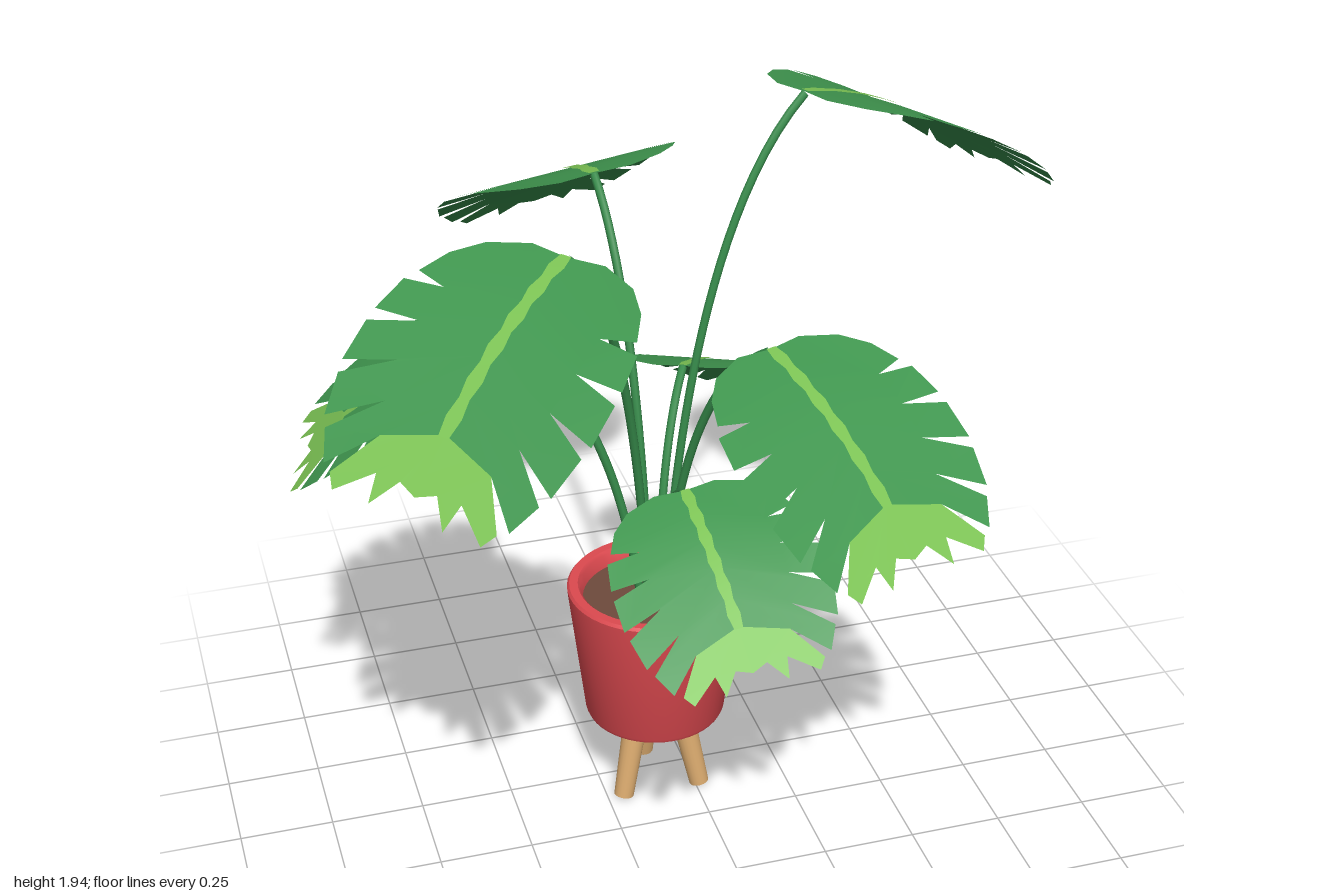
import * as THREE from 'three';
import { mergeVertices, mergeGeometries, toCreasedNormals } from 'three/addons/utils/BufferGeometryUtils.js';

const mat = (name, color) => Object.assign(new THREE.MeshStandardMaterial({ color }), { name });
const POT = new THREE.Vector3(-0.097, 0, 0.05);

// Half leaf split into lobes, points as [sideways, along]; the last lobe is the pale tip
const LOBES = [
  [[0, 0.1], [0, 0], [0.1, -0.01], [0.2, 0.03], [0.26, 0.09], [0.295, 0.16], [0.21, 0.18]],
  [[0, 0.2], [0, 0.1], [0.21, 0.18], [0.315, 0.19], [0.333, 0.275], [0.21, 0.27]],
  [[0, 0.29], [0, 0.2], [0.21, 0.27], [0.335, 0.305], [0.335, 0.395], [0.205, 0.36]],
  [[0, 0.38], [0, 0.29], [0.205, 0.36], [0.327, 0.42], [0.305, 0.5], [0.18, 0.44]],
  [[0, 0.46], [0, 0.38], [0.18, 0.44], [0.288, 0.52], [0.25, 0.575], [0.15, 0.5]],
  [[0, 0.46], [0.15, 0.5], [0.225, 0.585], [0.2, 0.61], [0.115, 0.56], [0.1, 0.61], [0.05, 0.56], [0, 0.575]],
];

// Wavy strip along the middle of the leaf
const RIB = [];
for (let i = 0; i <= 12; i++) RIB.push([i % 2 ? 0.021 : 0.014, i * 0.039]);

// Flat polygons laid out along +z and bent downward along their length
function bentSheet(polygons, slope, lift = 0) {
  const shapes = polygons.map(p => new THREE.Shape(p.map(([x, y]) => new THREE.Vector2(x, y))));
  let geo = new THREE.ShapeGeometry(shapes);
  geo.deleteAttribute('normal');
  geo.deleteAttribute('uv');
  geo.clearGroups();
  const pos = geo.attributes.position;
  for (let i = 0; i < pos.count; i++) {
    const w = pos.getX(i), s = pos.getY(i);
    pos.setXYZ(i, -w, lift - slope * s - 0.62 * s * s, s);
  }
  geo = mergeVertices(geo, 1e-4);
  geo.computeVertexNormals();
  return geo;
}

const bothSides = lobes => lobes.flatMap(l => [l, l.map(([x, y]) => [-x, y])]);

function flipped(geo) {
  const g = geo.clone(), idx = g.index;
  for (let i = 0; i < idx.count; i += 3) {
    const a = idx.getX(i);
    idx.setX(i, idx.getX(i + 1));
    idx.setX(i + 1, a);
  }
  g.computeVertexNormals();
  return g;
}

export function createModel() {
  const model = new THREE.Group();
  model.name = 'pottedPlant';
  const red = mat('potRed', 0xdc494f);
  const wood = mat('legWood', 0xdbab6f);
  const earth = mat('soilBrown', 0x6e4a3c);
  const green = mat('leafGreen', 0x40964f);
  const under = mat('stemGreen', 0x368a4a);
  const lime = mat('paleGreen', 0x7cc354);

  const add = (parent, name, geo, material) => {
    const mesh = new THREE.Mesh(geo, material);
    mesh.name = name;
    parent.add(mesh);
    return mesh;
  };

  // Pot with a soft rim, and the soil inside
  const profile = [[0, 0.248], [0.175, 0.248], [0.185, 0.252], [0.19, 0.263], [0.232, 0.63], [0.233, 0.642],
    [0.227, 0.65], [0.204, 0.65], [0.197, 0.642], [0.189, 0.59]].map(([x, y]) => new THREE.Vector2(x, y));
  add(model, 'pot', toCreasedNormals(new THREE.LatheGeometry(profile, 48), 0.7), red).position.copy(POT);
  const soil = add(model, 'soil', new THREE.CircleGeometry(0.193, 48).rotateX(-Math.PI / 2), earth);
  soil.position.set(POT.x, 0.605, POT.z);

  // Three splayed legs, one at the back
  for (let i = 0; i < 3; i++) {
    const a = Math.PI + i * Math.PI * 2 / 3;
    const out = new THREE.Vector3(Math.sin(a), 0, Math.cos(a));
    const top = POT.clone().addScaledVector(out, 0.07).setY(0.258);
    const foot = POT.clone().addScaledVector(out, 0.125).setY(0.006);
    const leg = add(model, 'leg', new THREE.CylinderGeometry(0.034, 0.027, top.distanceTo(foot), 20), wood);
    leg.position.copy(top).add(foot).multiplyScalar(0.5);
    leg.quaternion.setFromUnitVectors(new THREE.Vector3(0, 1, 0), top.clone().sub(foot).normalize());
  }

  // Leaves: base point, heading in x and z, size, slope at the base, sideways roll
  const leaves = [
    [[-0.13, 1.65, -0.38], [-0.05, -0.44], 0.99, 0.2, -0.09],
    [[0.35, 1.925, -0.11], [0.48, -0.15], 1.04, 0.16, -0.1],
    [[0.06, 1.14, -0.21], [0.23, -0.29], 0.8, 0.22, -0.13],
    [[-0.46, 1.38, -0.05], [-0.41, -0.1], 0.89, 0.23, 0],
    [[-0.4, 1.805, 0.41], [-0.36, 0.32], 1.01, 0.24, -0.04],
    [[-0.1, 1.1, 0.35], [0, 0.42], 0.79, 0.2, 0.14],
    [[0.1, 1.49, 0.4], [0.15, 0.4], 0.94, 0.24, 0],
  ];
  for (const [base, [dx, dz], size, slope, roll] of leaves) {
    const end = new THREE.Vector3(...base);

    // Stem arching out of the soil
    const out = end.clone().sub(POT).setY(0).normalize();
    const start = POT.clone().addScaledVector(out, 0.035).setY(0.59);
    const bend = start.clone().lerp(end, 0.2);
    bend.y = start.y + (end.y - start.y) * 0.8;
    const arc = new THREE.QuadraticBezierCurve3(start, bend, end);
    add(model, 'stem', new THREE.TubeGeometry(arc, 24, 0.0115, 8), under);

    // Blade with pale tip and middle rib, plus its underside
    const leaf = new THREE.Group();
    leaf.name = 'leaf';
    const blade = bentSheet(bothSides(LOBES.slice(0, 5)), slope);
    const tip = bentSheet(bothSides(LOBES.slice(5)), slope);
    const rib = bentSheet(RIB.slice(1).map(([w, s], i) => {
      const [v, r] = RIB[i];
      return [[-v, r], [v, r], [w, s], [-w, s]];
    }), slope, 0.004);
    add(leaf, 'leafBlade', blade, green);
    add(leaf, 'leafTip', tip, lime);
    add(leaf, 'leafRib', rib, lime);
    const back = flipped(mergeVertices(mergeGeometries([blade, tip])));
    add(leaf, 'leafUnderside', back, under).position.y = -0.003;
    leaf.position.copy(end).y += 0.005;
    leaf.rotation.set(0, Math.atan2(dx, dz), roll);
    leaf.scale.setScalar(size);
    model.add(leaf);
  }
  return model;
}
